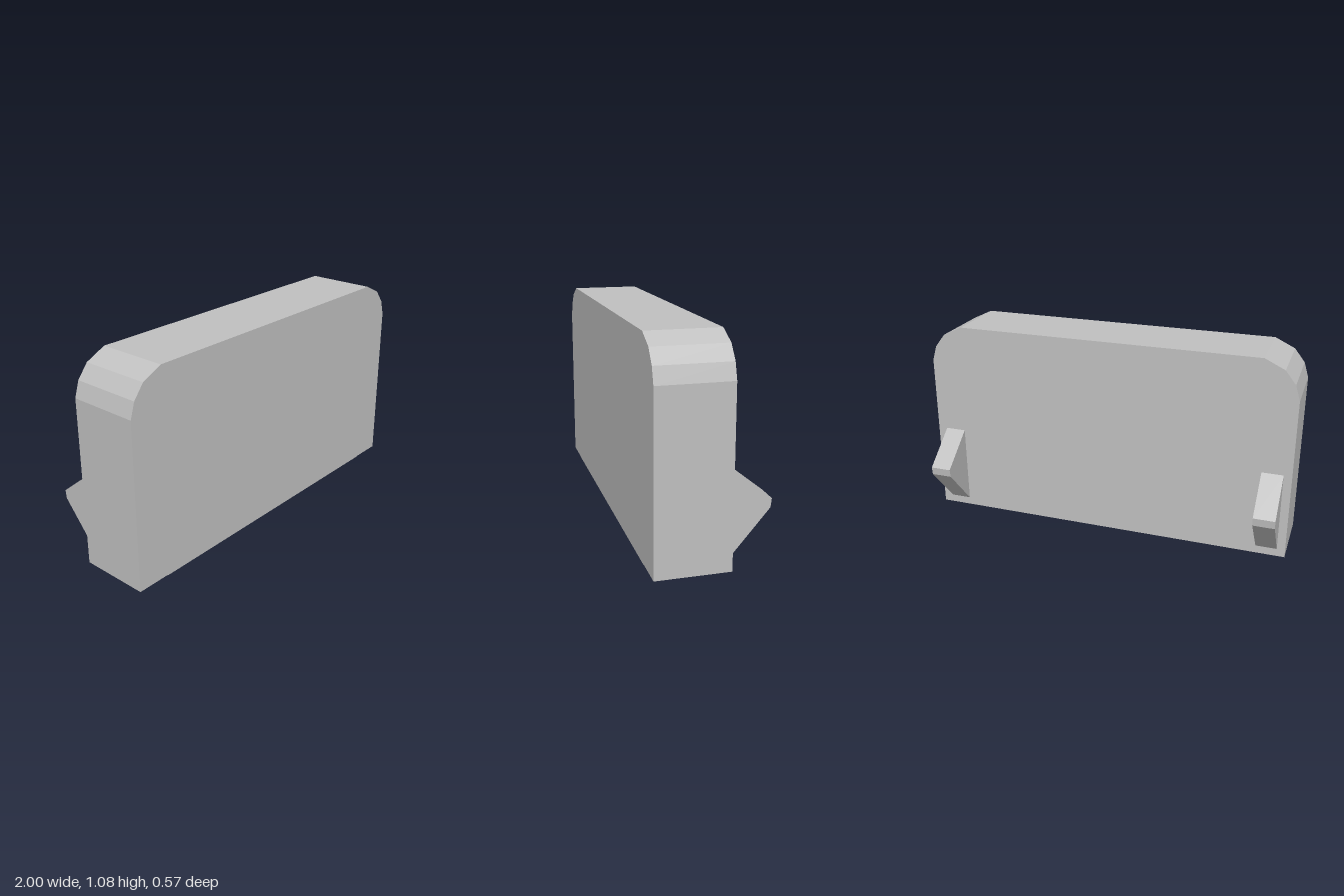
import * as THREE from 'three';

const grey = new THREE.MeshStandardMaterial({ color: 0xc0c0c0, flatShading: true });
grey.name = 'grey';

const BACK = -0.083, FRONT = 0.283;

function shapeOf(points) {
  return new THREE.Shape(points.map(([x, y]) => new THREE.Vector2(x, y)));
}

function extrude(points, depth) {
  return new THREE.ExtrudeGeometry(shapeOf(points), { depth, bevelEnabled: false });
}

function add(group, name, geometry) {
  const mesh = new THREE.Mesh(geometry, grey);
  mesh.name = name;
  group.add(mesh);
  return mesh;
}

export function createModel() {
  const model = new THREE.Group();
  model.name = 'panelWithClips';

  // Thick panel with faceted upper corners
  const rightSide = [[1, 0.003], [1, 0.88], [0.975, 0.96], [0.92, 1.03], [0.815, 1.08]];
  const leftSide = rightSide.map(([x, y]) => [-x, y]).reverse();
  const panel = add(model, 'panel', extrude([...rightSide, ...leftSide], FRONT - BACK));
  panel.position.z = BACK;

  // Shallow lip under the front edge
  const lip = add(model, 'bottomLip', new THREE.BoxGeometry(1.64, 0.004, 0.058));
  lip.position.set(0, 0.002, FRONT - 0.029);

  // Blunt wedge clips on the back; profile is (distance behind panel, height)
  const wedge = [[0, 0.045], [0.195, 0.272], [0.2, 0.315], [0, 0.475]];
  const width = 0.112;
  for (const [name, x] of [['leftClip', 0.894], ['rightClip', -0.901]]) {
    const geometry = extrude(wedge, width);
    geometry.translate(0, 0, -width / 2);
    geometry.rotateY(Math.PI / 2);
    add(model, name, geometry).position.set(x, 0, BACK);
  }
  return model;
}
